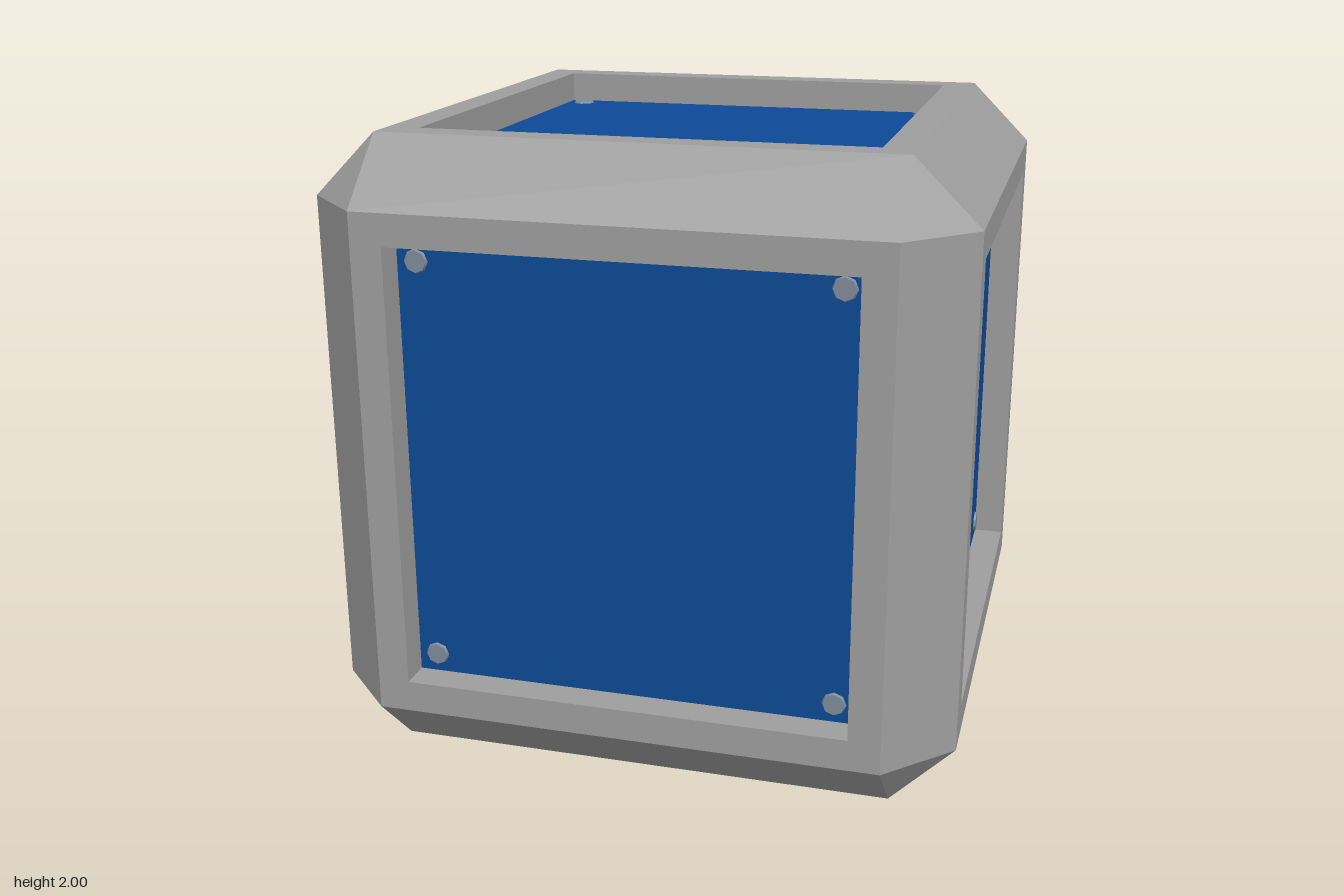
import * as THREE from 'three';
import { mergeGeometries } from 'three/addons/utils/BufferGeometryUtils.js';

const HALF = 1, FLAT = 0.8, OPENING = 0.7, DEPTH = 0.1, SCREW = 0.64;
const Q = Math.PI / 2;

function squarePath(path, r) {
  path.moveTo(-r, -r);
  path.lineTo(r, -r);
  path.lineTo(r, r);
  path.lineTo(-r, r);
  path.closePath();
  return path;
}

// bevel strips along the twelve edges, four around each axis
function edgeBevels() {
  const width = (HALF - FLAT) * Math.SQRT2, mid = (HALF + FLAT) / 2;
  const strips = [];
  for (const axis of ['X', 'Y', 'Z']) {
    for (let k = 0; k < 4; k++) {
      const g = new THREE.PlaneGeometry(FLAT * 2, width).rotateX(-Math.PI / 4).translate(0, mid, mid);
      if (axis === 'Y') g.rotateZ(Q);
      if (axis === 'Z') g.rotateY(Q);
      strips.push(g['rotate' + axis](k * Q));
    }
  }
  return mergeGeometries(strips);
}

// triangles that cut the eight corners
function cornerBevels() {
  const points = [];
  for (const x of [-1, 1]) for (const y of [-1, 1]) for (const z of [-1, 1]) {
    const a = [x * HALF, y * FLAT, z * FLAT];
    const b = [x * FLAT, y * HALF, z * FLAT];
    const c = [x * FLAT, y * FLAT, z * HALF];
    points.push(...a, ...(x * y * z > 0 ? [...b, ...c] : [...c, ...b]));
  }
  const g = new THREE.BufferGeometry();
  g.setAttribute('position', new THREE.Float32BufferAttribute(points, 3));
  g.computeVertexNormals();
  return g;
}

export function createModel() {
  const model = new THREE.Group();
  model.name = 'panelledCube';

  const frameGrey = new THREE.MeshStandardMaterial({ color: 0x9e9e9e });
  frameGrey.name = 'frameGrey';
  const panelBlue = new THREE.MeshStandardMaterial({ color: 0x0d4a96 });
  panelBlue.name = 'panelBlue';
  const screwGrey = new THREE.MeshStandardMaterial({ color: 0x808a9a });
  screwGrey.name = 'screwGrey';

  const add = (parent, name, geometry, material) => {
    const mesh = new THREE.Mesh(geometry, material);
    mesh.name = name;
    parent.add(mesh);
    return mesh;
  };

  // square rim around each recess
  const rimShape = squarePath(new THREE.Shape(), FLAT);
  rimShape.holes.push(squarePath(new THREE.Path(), OPENING));
  const rimGeometry = new THREE.ExtrudeGeometry(rimShape, { depth: DEPTH, bevelEnabled: false })
    .translate(0, 0, HALF - DEPTH);
  const panelGeometry = new THREE.PlaneGeometry(OPENING * 2, OPENING * 2).translate(0, 0, HALF - DEPTH);
  const screwGeometry = new THREE.CylinderGeometry(0.034, 0.038, 0.008, 8).rotateX(Q);

  // six identical sides
  const sides = {
    front: [0, 0], left: [0, Q], back: [0, Math.PI], right: [0, -Q], top: [-Q, 0], bottom: [Q, 0],
  };
  for (const [name, [rx, ry]] of Object.entries(sides)) {
    const side = new THREE.Group();
    side.name = name + 'Side';
    side.rotation.set(rx, ry, 0);
    add(side, 'rim', rimGeometry, frameGrey);
    add(side, 'panel', panelGeometry, panelBlue);
    for (const x of [-SCREW, SCREW]) for (const y of [-SCREW, SCREW]) {
      add(side, 'screw', screwGeometry, screwGrey).position.set(x, y, HALF - DEPTH + 0.004);
    }
    model.add(side);
  }

  add(model, 'edgeBevels', edgeBevels(), frameGrey);
  add(model, 'cornerBevels', cornerBevels(), frameGrey);

  // stand the cube on the ground
  for (const part of model.children) part.position.y = HALF;
  return model;
}
